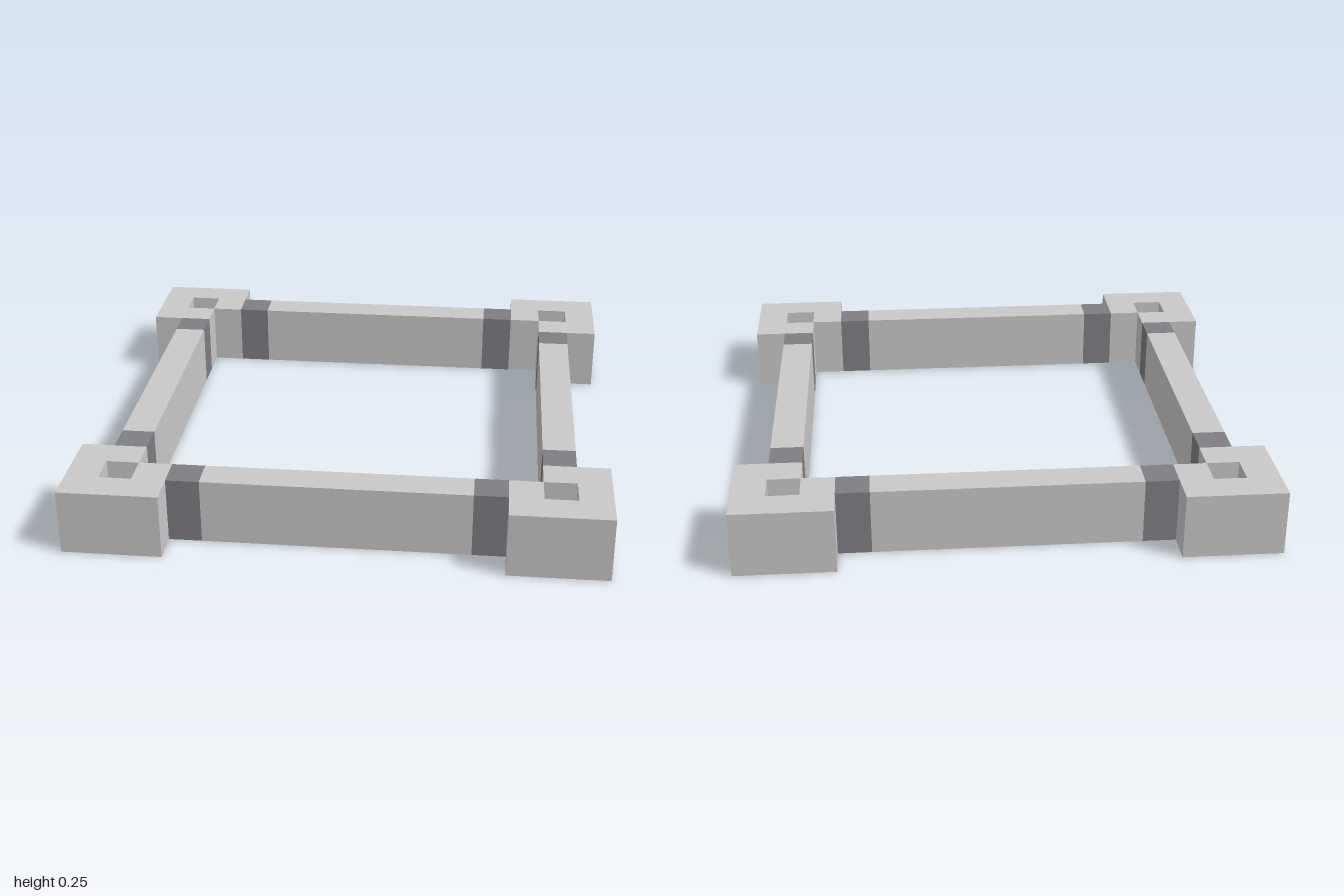
import * as THREE from 'three';

export function createModel() {
  const model = new THREE.Group();
  const stone = new THREE.MeshStandardMaterial({ name: 'light grey', color: 0xc8c8c8 });
  const dark = new THREE.MeshStandardMaterial({ name: 'dark grey', color: 0x7f7e83 });
  const H = 0.25;

  const add = (parent, name, geometry, material, x, y, z) => {
    const mesh = new THREE.Mesh(geometry, material);
    mesh.name = name;
    mesh.position.set(x, y, z);
    parent.add(mesh);
    return mesh;
  };

  // L-shaped corner block with a square socket; shape y maps to -z
  const outline = new THREE.Shape([
    [0.625, -1], [1, -1], [1, -0.625], [0.75, -0.625], [0.75, -0.75], [0.625, -0.75],
  ].map(([x, y]) => new THREE.Vector2(x, y)));
  const a = 0.751, b = 0.874;
  outline.holes.push(new THREE.Path(
    [[a, -a], [b, -a], [b, -b], [a, -b]].map(([x, y]) => new THREE.Vector2(x, y))));
  const blockGeo = new THREE.ExtrudeGeometry(outline, { depth: H, bevelEnabled: false });
  blockGeo.rotateX(-Math.PI / 2);

  // Socket floor (dark on top) and round spot underneath
  const plugGeo = new THREE.BoxGeometry(b - a, H / 2, b - a);
  const plugMaterials = [stone, stone, dark, stone, stone, stone];
  const spotGeo = new THREE.CylinderGeometry(0.0625, 0.0625, 0.004, 12);

  // Straight rail with a dark band at each end
  const railGeo = new THREE.BoxGeometry(1, H, 0.125);
  const bandGeo = new THREE.BoxGeometry(0.125, H, 0.125);

  // Four identical sides, each with one corner and one rail
  for (let i = 0; i < 4; i++) {
    const side = new THREE.Group();
    side.name = `side${i + 1}`;
    side.rotation.y = i * Math.PI / 2;
    add(side, 'cornerBlock', blockGeo, stone, 0, 0, 0);
    add(side, 'socketFloor', plugGeo, plugMaterials, 0.8125, H / 4, 0.8125);
    add(side, 'baseSpot', spotGeo, dark, 0.8125, 0.001, 0.8125);
    add(side, 'rail', railGeo, stone, 0, H / 2, 0.8125);
    for (const s of [-1, 1]) add(side, 'railBand', bandGeo, dark, s * 0.5625, H / 2, 0.8125);
    model.add(side);
  }
  return model;
}
